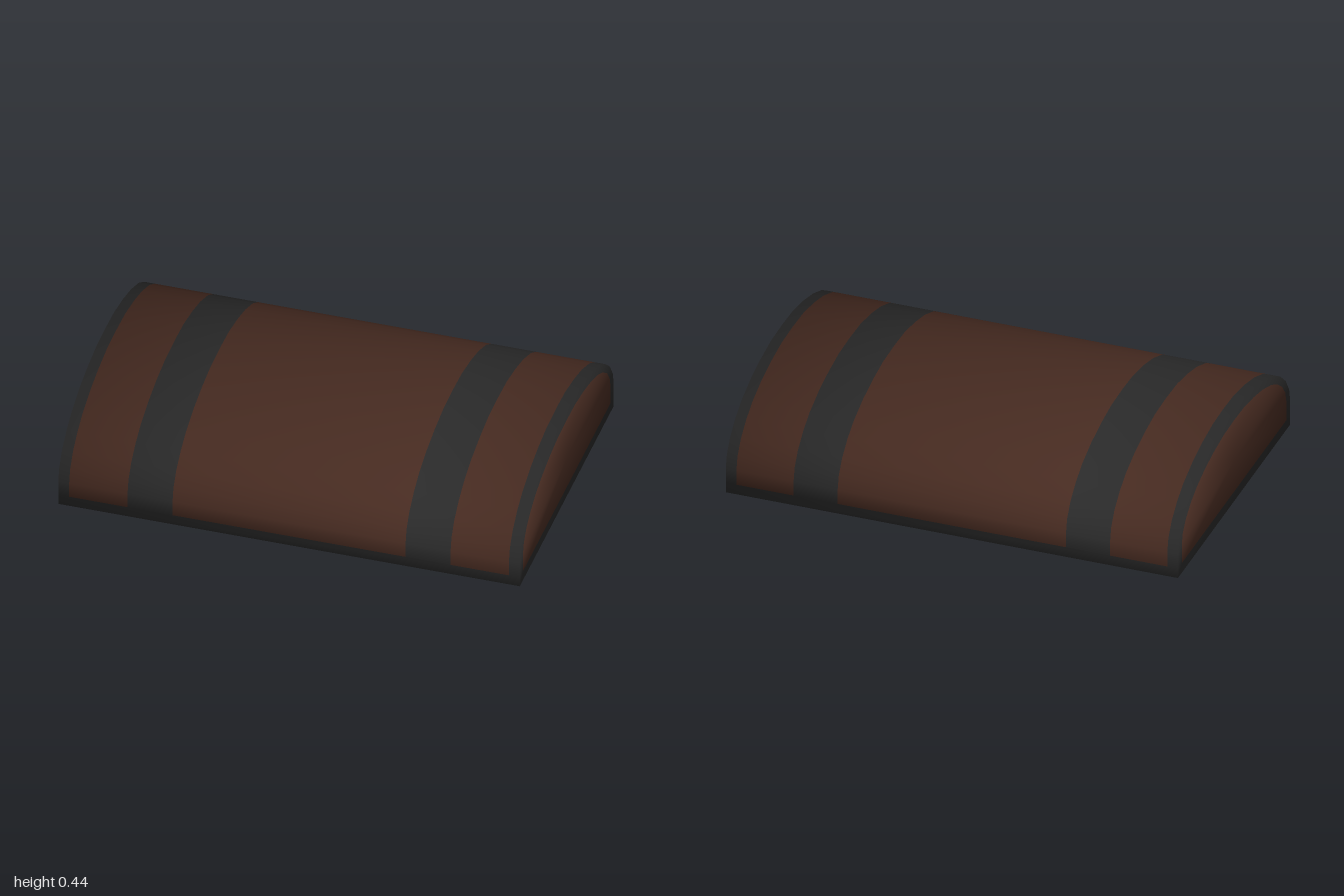
import * as THREE from 'three';

const T = 0.088; // thickness of the sides
const ROOF_T = 0.06; // thickness at the ridge
const HALF_W = 0.667, HEIGHT = 0.436;
const TRIM = 0.046, INNER_TRIM = 0.068; // iron border widths outside and inside

// Half of the arched cross-section as [z, y], from the lower front edge to the ridge
const HALF = [
  [0.667, 0], [0.667, 0.114], [0.654, 0.175], [0.614, 0.238], [0.55, 0.295],
  [0.475, 0.341], [0.368, 0.383], [0.254, 0.412], [0.129, 0.432], [0, HEIGHT],
];

// Full arch with averaged outward normals, plus a point at the top of the bottom trim
function makeProfile() {
  const pts = [...HALF, ...HALF.slice(0, -1).reverse().map(([z, y]) => [-z, y])];
  const n = pts.length;
  const edge = (i) => {
    const a = pts[i % n], b = pts[(i + 1) % n];
    return new THREE.Vector2(b[1] - a[1], a[0] - b[0]).normalize();
  };
  const prof = pts.map(([z, y], i) => ({ z, y, n: edge(i).add(edge(i + n - 1)).normalize() }));
  const between = (a, b) => ({ z: a.z, y: TRIM, n: a.n.clone().lerp(b.n, TRIM / b.y) });
  prof.splice(1, 0, between(prof[0], prof[1]));
  prof.splice(prof.length - 1, 0, between(prof[prof.length - 1], prof[prof.length - 2]));
  return prof;
}

// Surface through rows of { p, n }; corner order follows the normals
function patch(rows) {
  const pos = [], nor = [], index = [];
  const w = rows[0].length;
  const flat = rows.flat();
  flat.forEach(({ p, n }) => {
    pos.push(p.x, p.y, p.z);
    const u = n.clone().normalize();
    nor.push(u.x, u.y, u.z);
  });
  const tri = (a, b, c) => {
    const [A, B, C] = [a, b, c].map((i) => flat[i].p);
    const g = B.clone().sub(A).cross(C.clone().sub(A));
    if (g.lengthSq() < 1e-14) return;
    const s = flat[a].n.clone().add(flat[b].n).add(flat[c].n);
    if (g.dot(s) >= 0) index.push(a, b, c); else index.push(a, c, b);
  };
  for (let r = 0; r < rows.length - 1; r++) {
    for (let i = 0; i < w - 1; i++) {
      const a = r * w + i;
      tri(a, a + 1, a + w + 1);
      tri(a, a + w + 1, a + w);
    }
  }
  const geo = new THREE.BufferGeometry();
  geo.setAttribute('position', new THREE.Float32BufferAttribute(pos, 3));
  geo.setAttribute('normal', new THREE.Float32BufferAttribute(nor, 3));
  geo.setIndex(index);
  return geo;
}

export function createModel() {
  const wood = new THREE.MeshStandardMaterial({ color: 0x472b21 });
  wood.name = 'dark wood';
  const iron = new THREE.MeshStandardMaterial({ color: 0x2a2a2a });
  iron.name = 'dark iron';

  const model = new THREE.Group();
  model.name = 'chestLid';
  const add = (name, geo, mat) => {
    const mesh = new THREE.Mesh(geo, mat);
    mesh.name = name;
    model.add(mesh);
  };

  const outer = makeProfile();
  const inner = outer.map(({ z, y, n }) => ({
    z: z * (1 - T / HALF_W),
    y: y <= TRIM ? y * INNER_TRIM / TRIM
      : INNER_TRIM + (y - TRIM) * (HEIGHT - ROOF_T - INNER_TRIM) / (HEIGHT - TRIM),
    n,
  }));
  const last = outer.length - 1;

  // Lengthwise strip of the arch; dir is 1 outside, -1 inside
  const strip = (prof, x0, x1, from, to, dir, end) => patch([x0, x1].map((x) =>
    prof.slice(from, to + 1).map(({ z, y, n }) => ({
      p: new THREE.Vector3(x, y, z),
      n: new THREE.Vector3(x / end, n.y, n.x).multiplyScalar(dir),
    }))));

  // Curved outer shell: wood panels, straps and end trims
  const sections = [
    ['endTrim', -1, -0.953, iron], ['sidePanel', -0.953, -0.7, wood], ['strap', -0.7, -0.505, iron],
    ['middlePanel', -0.505, 0.505, wood],
    ['strap', 0.505, 0.7, iron], ['sidePanel', 0.7, 0.953, wood], ['endTrim', 0.953, 1, iron],
  ];
  for (const [name, x0, x1, mat] of sections) {
    add(name, strip(outer, x0, x1, 1, last - 1, 1, 1), mat);
  }

  // Lining of the hollow underside
  const xi = 1 - T;
  add('innerLining', strip(inner, -xi, xi, 1, last - 1, -1, xi), wood);

  // Trims along the lower long edges
  for (const from of [0, last - 1]) {
    add('lowerTrim', strip(outer, -1, 1, from, from + 1, 1, 1), iron);
    add('innerLowerTrim', strip(inner, -xi, xi, from, from + 1, -1, xi), iron);
  }

  // End walls: an iron border around a wood panel
  function endWall(name, prof, x, dir, trim) {
    const side = Math.sign(x);
    const loop = [...prof, prof[0]];
    const top = Math.max(...prof.map((q) => q.y));
    const ring = (r, place) => loop.map((q) => {
      const [z, y] = place(q);
      return {
        p: new THREE.Vector3(x, y, z),
        n: new THREE.Vector3(side, q.n.y * r, q.n.x * r).multiplyScalar(dir),
      };
    });
    const rim = ring(1, (q) => [q.z, q.y]);
    const border = ring(0.85, (q) => [
      q.z * (1 - trim / prof[0].z), trim + q.y * (top - 2 * trim) / top,
    ]);
    const centre = ring(0, () => [0, top * 0.45]);
    add(name + 'Border', patch([rim, border]), iron);
    add(name + 'Panel', patch([border, centre]), wood);
  }
  for (const s of [-1, 1]) {
    endWall('end', outer, s, 1, TRIM);
    endWall('innerEnd', inner, s * xi, -1, INNER_TRIM);
  }

  // Flat underside of the walls
  const rect = (Kind, hx, hz) => new Kind([
    new THREE.Vector2(-hx, -hz), new THREE.Vector2(hx, -hz),
    new THREE.Vector2(hx, hz), new THREE.Vector2(-hx, hz),
  ]);
  const frame = rect(THREE.Shape, 1, HALF_W);
  frame.holes.push(rect(THREE.Path, xi, HALF_W - T));
  add('bottomRim', new THREE.ShapeGeometry(frame).rotateX(Math.PI / 2), iron);

  return model;
}
